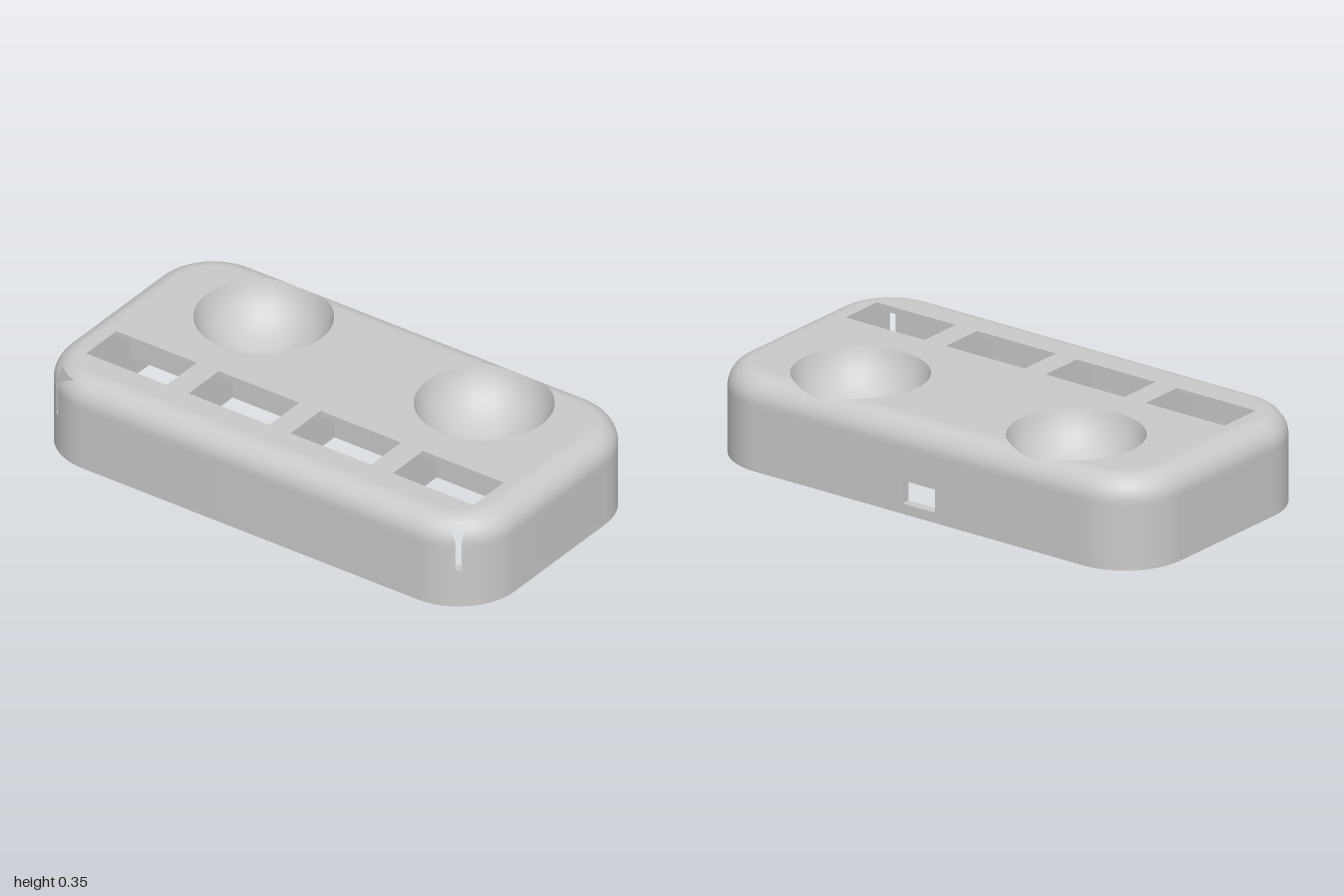
import * as THREE from 'three';
import { toCreasedNormals } from 'three/addons/utils/BufferGeometryUtils.js';

const HZ = 0.5275, CORNER = 0.25, CX = 1 - CORNER, CZ = HZ - CORNER; // plan outline
const H = 0.355, F = 0.095, T = 0.037;                    // height, fillet, wall thickness
const CEIL = 0.155, LEDGE = 0.33;                         // underside levels
const SLOT = { w: 0.075, y0: 0.04, y1: 0.13 };            // opening in the back wall
const BOWL = { x: 0.4925, z: -0.2335, r: 0.2545, depth: 0.195 };
const PZ0 = 0.02, PZ1 = 0.486, PX = 0.685, PW = 0.22;     // pocket extents
const A = PX + PW - CX, B = PZ1 - CZ;                     // outer pocket walls from the corner centre

// fillet: inset at a height, and height at an inset
const insetAt = y => y <= H - F ? 0 : F - Math.sqrt(Math.max(0, F * F - (y - H + F) ** 2));
const heightAt = d => d >= F ? H : H - F + Math.sqrt(Math.max(0, F * F - (F - d) ** 2));

// The outer pocket breaks through the rounded corner: [angle, lower edge of the opening]
const SLIT = [];
const openings = [r => Math.acos(A / r), r => Math.asin(B / r)];
openings.forEach((angle, side) => {
  const part = [];
  for (let i = 0; i <= 7; i++) {
    const y = LEDGE + (H - F - LEDGE) * i / 7;
    part.push([angle(CORNER - insetAt(y)), y]);
  }
  part.push([angle(CORNER), CEIL]);
  SLIT.push(...(side ? part.reverse() : part));
});
const SLIT0 = SLIT[0][0], SLIT1 = SLIT[SLIT.length - 1][0];
const polar = (a, r) => [CX + r * Math.cos(a), CZ + r * Math.sin(a)];

// Points along a corner arc of radius r, between the outer pocket's two walls
function cornerArc(r, radius = () => r) {
  const a0 = openings[0](r), a1 = openings[1](r), pts = [];
  for (let i = 0; i <= 16; i++) {
    const a = a0 + (a1 - a0) * i / 16;
    pts.push(polar(a, radius(a)));
  }
  return pts;
}

// Bowl rim angles: the back arc crosses the fillet, the rest lies on the flat top
const delta = Math.acos((BOWL.z + HZ - F) / BOWL.r);
const backArc = [], frontArc = [];
for (let i = 0; i <= 16; i++) backArc.push(-Math.PI / 2 - delta + 2 * delta * i / 16);
for (let i = 0; i <= 48; i++) frontArc.push(-Math.PI / 2 + delta + (2 * Math.PI - 2 * delta) * i / 48);

// Outline columns: position, outward normal, lower edge of the corner opening, top, slot flag
function buildOutline() {
  const cols = [], cap = [];
  const add = (x, z, nx, nz, a = LEDGE, top = H, slot = false) => {
    cols.push({ x, z, nx, nz, a, top, slot });
    if (top === H) cap.push([x - nx * F, z - nz * F]);
  };
  for (let q = 0; q < 4; q++) {
    const sx = q === 0 || q === 3 ? 1 : -1, sz = q < 2 ? 1 : -1;
    const steps = Array.from({ length: 19 }, (_, i) => [i * Math.PI / 36, LEDGE]);
    const list = q > 1 ? steps
      : [...steps.filter(e => e[0] < SLIT0 - 0.02), ...SLIT, ...steps.filter(e => e[0] > SLIT1 + 0.02)];
    if (sx * sz < 0) list.reverse();
    for (const [d, a] of list) {
      const nx = sx * Math.cos(d), nz = sz * Math.sin(d);
      add(sx * CX + nx * CORNER, sz * CZ + nz * CORNER, nx, nz, a);
    }
    if (q !== 2) continue;
    // back side: bowl, slot, bowl
    for (const s of [-1, 1]) {
      backArc.forEach((p, i) => {
        const end = i === 0 || i === 16;
        const d = BOWL.z + BOWL.r * Math.sin(p) + HZ;
        add(s * BOWL.x + BOWL.r * Math.cos(p), -HZ, 0, -1, LEDGE, end ? H : Math.min(heightAt(d), H - 1e-6));
        if (i === 0) frontArc.slice(1, -1).reverse().forEach(f =>
          cap.push([s * BOWL.x + BOWL.r * Math.cos(f), BOWL.z + BOWL.r * Math.sin(f)]));
      });
      if (s < 0) for (const [x, slot] of [[-SLOT.w, false], [-SLOT.w, true], [SLOT.w, true], [SLOT.w, false]])
        add(x, -HZ, 0, -1, LEDGE, H, slot);
    }
  }
  return { cols, cap };
}

// Collects quads into one geometry
class Quads {
  constructor() { this.p = []; }
  add(a, b, c, d) { this.p.push(...a, ...b, ...c, ...a, ...c, ...d); }
  // closed wall over columns; from(c) and to(c) give the heights
  wall(cols, from, to, rows, inset, ease = t => t) {
    cols.forEach((c, i) => {
      const n = cols[(i + 1) % cols.length];
      if (Math.hypot(c.x - n.x, c.z - n.z) < 1e-5) return;
      if (to(c) - from(c) < 1e-6 && to(n) - from(n) < 1e-6) return;
      const pt = (k, j) => {
        const y = from(k) + (to(k) - from(k)) * ease(j / rows), d = inset(y);
        return [k.x - (k.nx || 0) * d, y, k.z - (k.nz || 0) * d];
      };
      for (let j = 0; j < rows; j++) this.add(pt(c, j), pt(c, j + 1), pt(n, j + 1), pt(n, j));
    });
  }
  // wall that leaves the back slot open
  slottedWall(cols, to, rows, inset) {
    this.wall(cols, () => 0, () => SLOT.y0, 1, inset);
    this.wall(cols, () => SLOT.y0, c => c.slot ? SLOT.y0 : SLOT.y1, 1, inset);
    this.wall(cols, () => SLOT.y1, to, rows, inset);
  }
  geometry() {
    const g = new THREE.BufferGeometry();
    g.setAttribute('position', new THREE.Float32BufferAttribute(this.p, 3));
    return toCreasedNormals(g, 0.6);
  }
}

// Flat horizontal plate with holes, from [x, z] points
function plate(points, holes, y) {
  const v = pts => pts
    .filter((p, i) => { const q = pts[(i + 1) % pts.length]; return Math.hypot(p[0] - q[0], p[1] - q[1]) > 1e-5; })
    .map(([x, z]) => new THREE.Vector2(x, -z));
  const shape = new THREE.Shape(v(points));
  for (const h of holes) shape.holes.push(new THREE.Path(v(h)));
  return new THREE.ShapeGeometry(shape).rotateX(-Math.PI / 2).translate(0, y, 0);
}
const rect = (x0, x1, z0, z1) => [[x1, z0], [x1, z1], [x0, z1], [x0, z0]];

export function createModel() {
  const group = new THREE.Group();
  const grey = new THREE.MeshStandardMaterial({ color: 0xcacaca, side: THREE.DoubleSide });
  grey.name = 'plainGrey';
  const mesh = (name, geo) => {
    const m = new THREE.Mesh(geo, grey);
    m.name = name;
    group.add(m);
  };
  const flat = () => 0;
  const { cols, cap } = buildOutline();
  const outer = cols.map(c => [c.x, c.z]);
  const inner = cols.map(c => [c.x - c.nx * T, c.z - c.nz * T]);

  // Outer skin with rounded top edge, corner openings and back slot
  const skin = new Quads();
  skin.slottedWall(cols, c => c.a, 16, insetAt);
  skin.wall(cols, () => LEDGE, c => c.top, 8, insetAt, t => Math.sin(t * Math.PI / 2));
  mesh('outerShell', skin.geometry());

  // Inner skirt wall and bottom rim
  const skirt = new Quads();
  skirt.slottedWall(cols, () => CEIL, 1, () => T);
  mesh('innerSkirt', skirt.geometry());
  mesh('bottomRim', plate(outer, [inner], 0));

  // Back slot lining
  const lining = new Quads(), z0 = -HZ, z1 = -HZ + T, { w, y0, y1 } = SLOT;
  for (const y of [y0, y1]) lining.add([-w, y, z0], [-w, y, z1], [w, y, z1], [w, y, z0]);
  for (const x of [-w, w]) lining.add([x, y0, z0], [x, y1, z0], [x, y1, z1], [x, y0, z1]);
  mesh('backSlot', lining.geometry());

  // Pockets with a lip around each window; the outer ones break through the corners
  const windows = [], pockets = [];
  for (const s of [-1, 1]) for (const cx of [0.2275, PX]) {
    const flip = pts => pts.map(([x, z]) => [s * x, z]);
    const box = rect(cx - PW, cx + PW, PZ0, PZ1);
    const boxWith = corner => cx === PX ? [box[0], ...corner, box[2], box[3]] : box;
    const win = flip(rect(cx - 0.18, cx + 0.18, 0.16, 0.345));
    windows.push(win);
    pockets.push(flip(boxWith(cornerArc(CORNER - T - 0.001))));

    const edge = SLIT.map(([d, y]) => [...polar(d, CORNER - insetAt(y)), y]);
    const pocket = new Quads();
    pocket.wall(boxWith(edge).map(([x, z, a = LEDGE]) => ({ x: s * x, z, a })), () => CEIL, c => c.a, 1, flat);
    pocket.wall(win.map(([x, z]) => ({ x, z })), () => LEDGE, () => H, 1, flat);
    mesh('pocketWalls', pocket.geometry());
    mesh('pocketLip', plate(flip(boxWith(cornerArc(CORNER - insetAt(LEDGE)))), [win], LEDGE));
  }
  mesh('topFace', plate(cap, windows, H));
  mesh('underside', plate(inner, pockets, CEIL));

  for (const s of [-1, 1]) {
    // Top of the skirt where the pocket overhangs it
    const reach = a => Math.min(CORNER, A / Math.cos(a), B / Math.sin(a));
    const step = [...cornerArc(CORNER - T, reach), ...cornerArc(CORNER - T).reverse()];
    mesh('cornerStep', plate(step.map(([x, z]) => [s * x, z]), [], CEIL));

    // Round bowl whose rim follows the top edge
    const bowl = new Quads(), ring = [...backArc.slice(0, -1), ...frontArc.slice(0, -1)], N = 14;
    const full = 2 * Math.atan(BOWL.depth / BOWL.r), bottom = H - BOWL.depth;
    const pt = (p, k) => {
      const a = full * k / N, c = Math.cos(p), n = Math.sin(p);
      const rim = heightAt(BOWL.z + BOWL.r * n + HZ), r = BOWL.r * Math.sin(a) / Math.sin(full);
      const rise = (1 - Math.cos(a)) / (1 - Math.cos(full));
      return [s * BOWL.x + r * c, bottom + (rim - bottom) * rise, BOWL.z + r * n];
    };
    ring.forEach((p, i) => {
      const q = ring[(i + 1) % ring.length];
      for (let k = 0; k < N; k++) bowl.add(pt(p, k), pt(q, k), pt(q, k + 1), pt(p, k + 1));
    });
    mesh('bowl', bowl.geometry());
  }
  return group;
}
